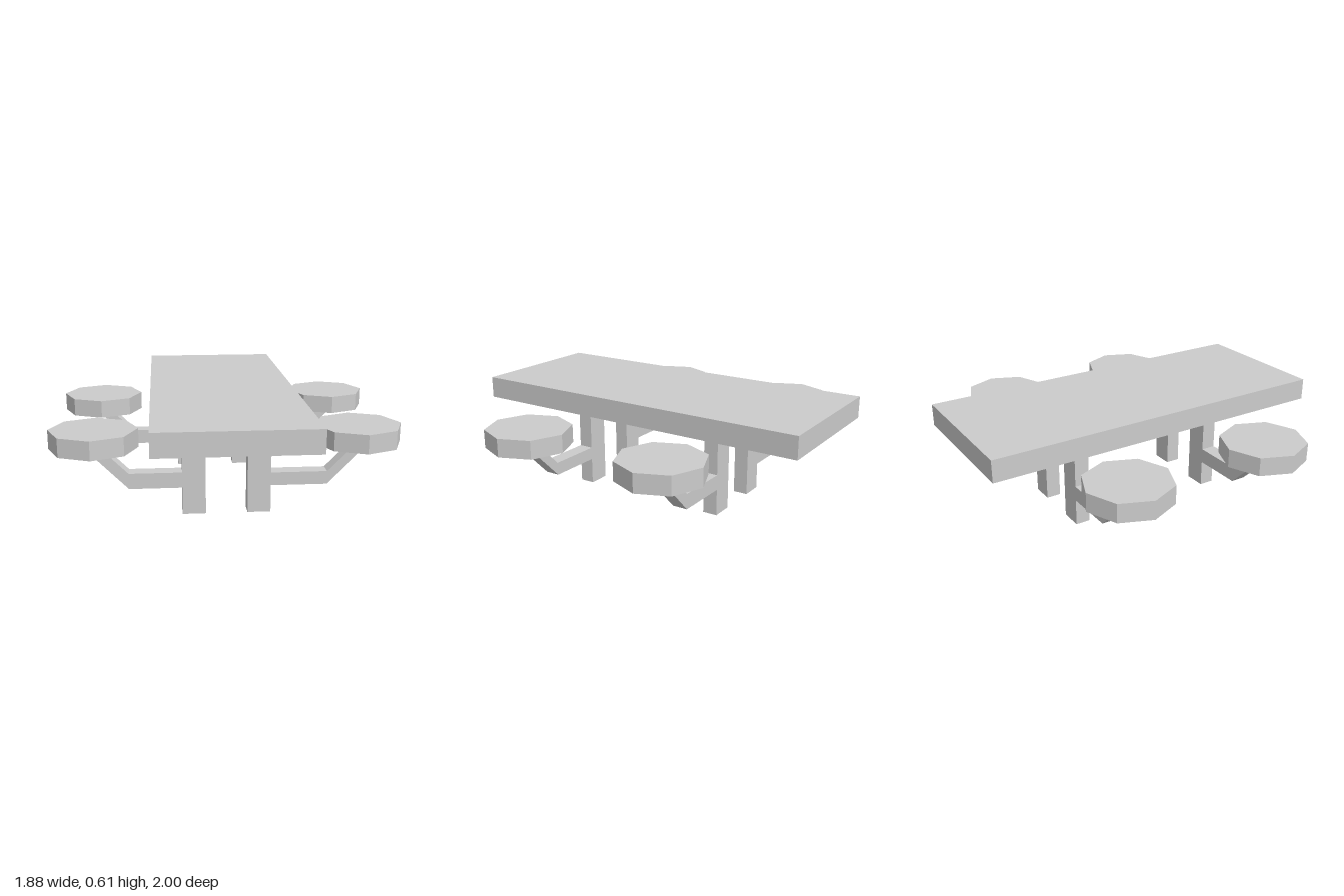
import * as THREE from 'three';

export function createModel() {
  const group = new THREE.Group();
  const material = new THREE.MeshStandardMaterial({ color: 0xcccccc, flatShading: true });
  const depth = 0.083;

  function add(name, geometry, x, y, z) {
    const mesh = new THREE.Mesh(geometry, material);
    mesh.name = name;
    mesh.position.set(x, y, z);
    group.add(mesh);
  }

  // Bent arm profile, from the leg out and up to the underside of the seat
  function armGeometry(side, innerX, bendX, topY) {
    const shape = new THREE.Shape([
      [innerX, 0.15], [bendX, 0.15], [bendX + 0.22, 0.372],
      [bendX + 0.137 + (0.235 - topY), 0.372], [bendX, topY], [innerX, topY],
    ].map(([x, y]) => new THREE.Vector2(side * x, y)));
    return new THREE.ExtrudeGeometry(shape, { depth, bevelEnabled: false });
  }

  // Table top
  add('tableTop', new THREE.BoxGeometry(0.81, 0.122, 2), 0, 0.544, 0);

  for (const side of [-1, 1]) {
    const sideName = side > 0 ? 'left' : 'right';
    const legX = side > 0 ? 0.169 : -0.181;
    for (const end of [-1, 1]) {
      const name = (end > 0 ? 'front' : 'back') + (side > 0 ? 'Left' : 'Right');
      const z = end * 0.43;

      // Square post under the table
      add(`${name}Leg`, new THREE.BoxGeometry(0.125, 0.484, depth), legX, 0.242, z);

      // Seat support; the front arm on the left is slightly slimmer
      const topY = sideName === 'left' && end > 0 ? 0.222 : 0.235;
      const arm = armGeometry(side, Math.abs(legX) + 0.0625, side > 0 ? 0.535 : 0.525, topY);
      add(`${name}SeatArm`, arm, 0, 0, z - depth / 2);

      // Octagonal seat
      add(`${name}Seat`, new THREE.CylinderGeometry(0.235, 0.235, 0.102, 8), side * 0.704, 0.422, z);
    }
  }
  return group;
}
